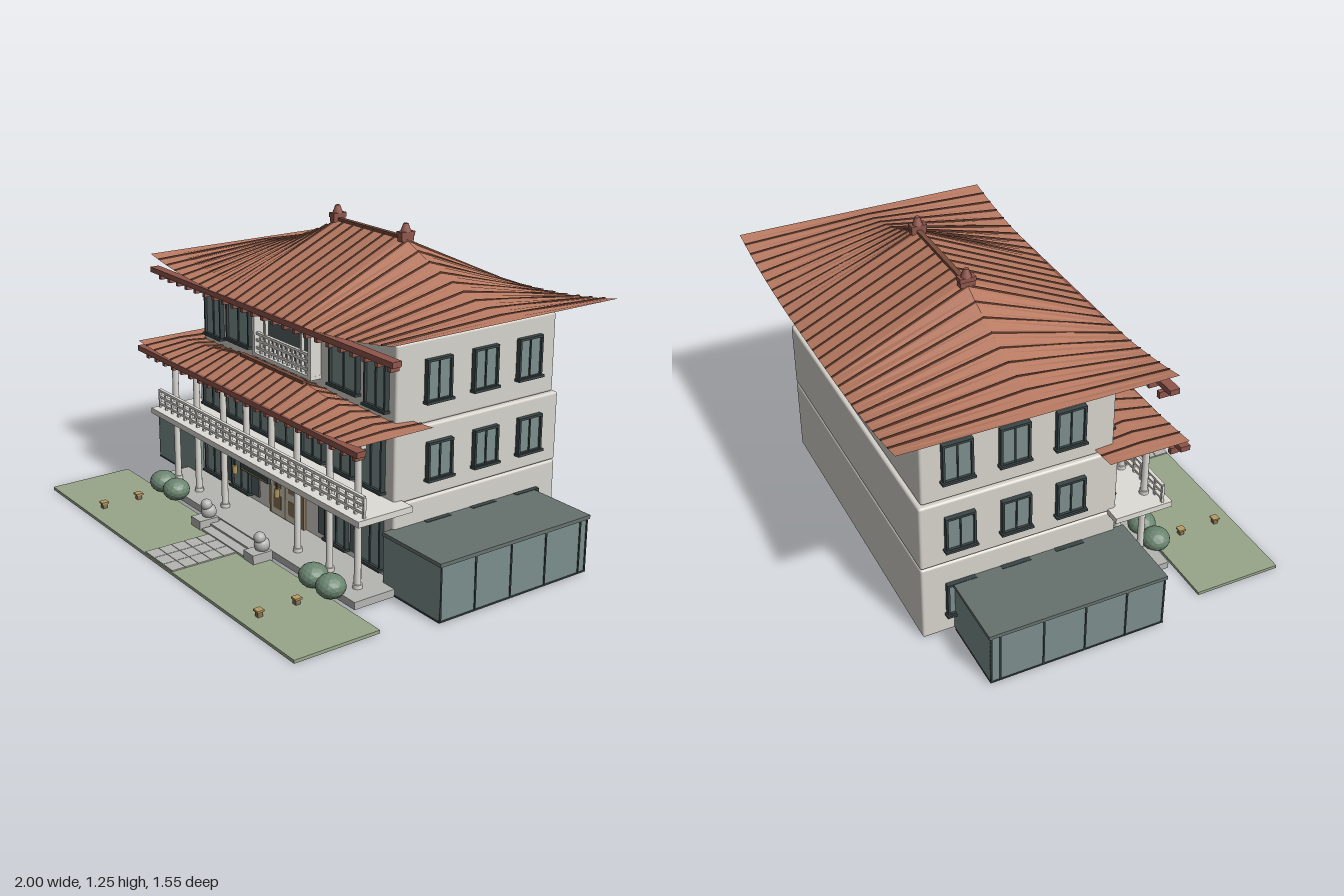
import * as THREE from 'three';
import { RoundedBoxGeometry } from 'three/addons/geometries/RoundedBoxGeometry.js';

const mat = (color, extra = {}) => new THREE.MeshStandardMaterial({ color, ...extra });
const M = {
  wall: mat(0xd6d3cc), white: mat(0xdedcd6), stone: mat(0xb5b5b2), glass: mat(0x7b8e8c), frame: mat(0x3a4546),
  roof: mat(0xb87a62, { side: THREE.DoubleSide }), seam: mat(0x7a4c3c), beam: mat(0x8f554b), lawn: mat(0x98a68a),
  bush: mat(0x6b8570, { flatShading: true }), cap: mat(0x66726e), cream: mat(0xd8cdb8), wood: mat(0x8a7458),
  gold: mat(0xb59a63), dark: mat(0x56605f),
};

function add(parent, name, geo, material, x = 0, y = 0, z = 0) {
  const m = new THREE.Mesh(geo, material);
  m.name = name;
  m.position.set(x, y, z);
  parent.add(m);
  return m;
}

// box given by its limits on each axis
function box(parent, name, material, x0, x1, y0, y1, z0, z1) {
  return add(parent, name, new THREE.BoxGeometry(x1 - x0, y1 - y0, z1 - z0), material,
    (x0 + x1) / 2, (y0 + y1) / 2, (z0 + z1) / 2);
}

function group(parent, name) {
  const g = new THREE.Group();
  g.name = name;
  parent.add(g);
  return g;
}

// window facing +z with its back on z = 0: frame bars, glass and mullions
function makeWindow(parent, name, w, h, panes = 2, sill = true) {
  const g = group(parent, name), t = 0.009;
  box(g, 'glass', M.glass, -w / 2, w / 2, -h / 2, h / 2, 0, 0.012);
  for (const s of [-1, 1]) {
    box(g, 'frameSide', M.frame, s * w / 2 - t / 2, s * w / 2 + t / 2, -h / 2, h / 2, 0, 0.022);
    box(g, 'frameRail', M.frame, -w / 2 - t / 2, w / 2 + t / 2, s * h / 2 - t / 2, s * h / 2 + t / 2, 0, 0.022);
  }
  for (let i = 1; i < panes; i++) {
    const x = -w / 2 + (w * i) / panes;
    box(g, 'mullion', M.frame, x - 0.003, x + 0.003, -h / 2, h / 2, 0, 0.017);
  }
  if (sill) box(g, 'sill', M.frame, -w / 2 - 0.01, w / 2 + 0.01, -h / 2 - 0.008, -h / 2 + 0.002, 0, 0.03);
  return g;
}

// swept roof: straight slopes in z, with eaves and ridge curving along x
function makeRoof(parent, name, r) {
  const g = group(parent, name);
  const eave = (x) => r.eave + (r.tip - r.eave) * Math.pow(Math.abs(x) / r.hx, 3);
  const ridge = (x) => {
    const u = Math.max(0, (Math.abs(x) - r.ridgeX) / (r.hx - r.ridgeX));
    return r.tip + (r.top - r.tip) * Math.pow(1 - u, 1.6);
  };
  const height = (x, z) => eave(x) + (ridge(x) - eave(x)) * (1 - Math.min(1, Math.abs(z - r.zc) / r.hz));
  const geo = new THREE.PlaneGeometry(2 * r.hx, 2 * r.hz, 48, 2).rotateX(-Math.PI / 2).translate(0, 0, r.zc);
  const p = geo.attributes.position;
  for (let i = 0; i < p.count; i++) p.setY(i, height(p.getX(i), p.getZ(i)));
  const flat = geo.toNonIndexed();
  flat.computeVertexNormals();
  add(g, 'roofSheet', flat, M.roof);
  // standing seams running down both slopes
  const n = Math.round((2 * r.hx) / 0.067);
  for (let i = 1; i < n; i++) {
    const x = -r.hx + (2 * r.hx * i) / n, drop = ridge(x) - eave(x);
    for (const s of [-1, 1]) {
      const seam = add(g, 'seam', new THREE.BoxGeometry(0.005, 0.006, Math.hypot(drop, r.hz)), M.seam,
        x, (ridge(x) + eave(x)) / 2 + 0.002, r.zc + s * r.hz / 2);
      seam.rotation.x = s * Math.atan2(drop, r.hz);
    }
  }
  // ridge cap, front eave beam and rafter ends
  box(g, 'ridgeCap', M.seam, -r.ridgeX, r.ridgeX, r.top - 0.005, r.top + 0.008, r.zc - 0.01, r.zc + 0.01);
  const zf = r.zc + r.hz;
  box(g, 'eaveBeam', M.beam, -r.hx, r.hx, r.eave - 0.018, r.eave + 0.004, zf - 0.035, zf + 0.005);
  const k = Math.round((2 * r.hx) / 0.075);
  for (let i = 0; i <= k; i++) {
    const x = (r.hx - 0.045) * ((2 * i) / k - 1);
    box(g, 'rafterEnd', M.beam, x - 0.009, x + 0.009, r.eave - 0.045, r.eave - 0.018, zf - 0.055, zf - 0.015);
  }
  return g;
}

// horizontal rails with balusters along x
function makeRailing(parent, name, hx, y0, y1, z, count) {
  const g = group(parent, name);
  for (const y of [y0 + 0.02, (y0 + y1) / 2 + 0.012, y1])
    box(g, 'rail', M.white, -hx, hx, y - 0.005, y + 0.005, z - 0.007, z + 0.007);
  for (let i = 0; i <= count; i++) {
    const x = hx * ((2 * i) / count - 1);
    box(g, 'baluster', M.white, x - 0.005, x + 0.005, y0, y1, z - 0.005, z + 0.005);
  }
}

export function createModel() {
  const root = new THREE.Group();
  root.name = 'building';

  // three storeys
  const storeys = [[0.68, 0.005, 0.332, -0.64, 0.165], [0.68, 0.334, 0.615, -0.64, 0.165], [0.665, 0.615, 0.935, -0.625, 0.15]];
  storeys.forEach(([hx, y0, y1, z0, z1], i) => add(root, 'storey' + (i + 1),
    new RoundedBoxGeometry(hx * 2, y1 - y0, z1 - z0, 2, 0.01), M.wall, 0, (y0 + y1) / 2, (z0 + z1) / 2));

  // side windows
  for (const s of [-1, 1])
    for (const [y, h, x] of [[0.165, 0.14, 0.678], [0.475, 0.14, 0.678], [0.78, 0.155, 0.663]])
      for (const z of [-0.038, -0.262, -0.485]) {
        const w = makeWindow(root, 'sideWindow', 0.11, h);
        w.position.set(s * x, y, z);
        w.rotation.y = s * Math.PI / 2;
      }

  // front windows and sliding doors
  const front = (x, y, z, w, h, panes) => makeWindow(root, 'frontWindow', w, h, panes).position.set(x, y, z);
  for (const s of [-1, 1]) {
    front(s * 0.56, 0.78, 0.148, 0.12, 0.2, 2);
    front(s * 0.365, 0.78, 0.148, 0.165, 0.165, 2);
    for (const x of [0.555, 0.37, 0.185]) front(s * x, 0.475, 0.163, 0.135, 0.21, 2);
    for (const x of [0.555, 0.34]) front(s * x, 0.175, 0.163, 0.13, 0.23, 2);
    for (const x of [0.455, 0.245])
      box(root, 'darkPanel', M.dark, s * x - 0.032, s * x + 0.032, 0.06, 0.29, 0.16, 0.172);
  }
  front(0, 0.475, 0.163, 0.17, 0.21, 2);

  // upper loggia with its frame and railing
  const bay = group(root, 'upperLoggia');
  box(bay, 'recess', M.dark, -0.19, 0.19, 0.69, 0.87, 0.145, 0.156);
  for (const s of [-1, 1]) {
    box(bay, 'post', M.white, s * 0.195 - 0.009, s * 0.195 + 0.009, 0.69, 0.88, 0.15, 0.2);
    box(bay, 'innerPost', M.white, s * 0.125 - 0.005, s * 0.125 + 0.005, 0.7, 0.865, 0.175, 0.19);
  }
  box(bay, 'lintel', M.white, -0.205, 0.205, 0.862, 0.88, 0.15, 0.2);
  box(bay, 'ledge', M.white, -0.205, 0.205, 0.69, 0.705, 0.15, 0.2);
  makeRailing(bay, 'loggiaRailing', 0.19, 0.705, 0.785, 0.185, 12);

  // roofs
  const main = makeRoof(root, 'mainRoof', { hx: 0.835, hz: 0.537, zc: -0.237, eave: 0.94, tip: 1.0, top: 1.19, ridgeX: 0.22 });
  for (const s of [-1, 1]) {
    const f = group(main, 'finial');
    f.position.set(s * 0.222, 1.18, -0.237);
    box(f, 'base', M.beam, -0.014, 0.014, 0, 0.022, -0.03, 0.03);
    box(f, 'block', M.beam, -0.018, 0.018, 0.02, 0.038, -0.032, 0.032);
    add(f, 'knob', new THREE.CylinderGeometry(0.01, 0.022, 0.032, 8), M.beam, 0, 0.053, 0);
  }
  makeRoof(root, 'porchRoof', { hx: 0.78, hz: 0.167, zc: 0.238, eave: 0.622, tip: 0.646, top: 0.695, ridgeX: 0.22 });

  // porch floor, balcony and columns
  box(root, 'porchFloor', M.stone, -0.74, 0.74, 0.005, 0.035, 0.15, 0.385);
  box(root, 'balconySlab', M.white, -0.745, 0.745, 0.323, 0.347, 0.13, 0.375);
  box(root, 'balconyBeam', M.white, -0.7, 0.7, 0.3, 0.323, 0.293, 0.317);
  box(root, 'columnHead', M.white, -0.68, 0.68, 0.585, 0.605, 0.293, 0.317);
  const column = (x, y0, y1) => {
    add(root, 'column', new THREE.CylinderGeometry(0.013, 0.014, y1 - y0, 12), M.white, x, (y0 + y1) / 2, 0.305);
    for (const y of [y0 + 0.008, y1 - 0.008])
      add(root, 'columnRing', new THREE.CylinderGeometry(0.019, 0.019, 0.016, 12), M.white, x, y, 0.305);
  };
  for (const s of [-1, 1]) {
    for (const x of [0.65, 0.475, 0.265]) column(s * x, 0.035, 0.323);
    for (const x of [0.65, 0.475, 0.265, 0.09]) column(s * x, 0.347, 0.622);
  }
  makeRailing(root, 'balconyRailing', 0.73, 0.347, 0.425, 0.338, 28);

  // entrance door, sign board and lanterns
  const door = group(root, 'entrance');
  box(door, 'doorFrame', M.wood, -0.122, 0.122, 0.035, 0.27, 0.16, 0.178);
  for (const s of [-1, 1]) {
    box(door, 'doorLeaf', M.cream, s * 0.053 - 0.05, s * 0.053 + 0.05, 0.04, 0.255, 0.17, 0.184);
    for (const y of [0.1, 0.195])
      box(door, 'doorPanel', M.wood, s * 0.053 - 0.026, s * 0.053 + 0.026, y - 0.03, y + 0.03, 0.18, 0.187);
    add(door, 'lantern', new THREE.CylinderGeometry(0.011, 0.011, 0.035, 8), M.gold, s * 0.152, 0.243, 0.325);
    box(door, 'lanternHook', M.frame, s * 0.152 - 0.003, s * 0.152 + 0.003, 0.26, 0.325, 0.322, 0.328);
  }
  box(door, 'signBoard', M.frame, -0.1, 0.1, 0.263, 0.302, 0.317, 0.332);
  box(door, 'signTrim', M.gold, -0.092, 0.092, 0.266, 0.27, 0.33, 0.335);

  // side annexes with glazed panels
  for (const s of [-1, 1]) {
    const a = group(root, 'annex');
    const bx = (name, m, x0, x1, ...r) => box(a, name, m, Math.min(s * x0, s * x1), Math.max(s * x0, s * x1), ...r);
    bx('body', M.glass, 0.67, 0.993, 0.008, 0.225, -0.512, 0.203);
    bx('flatRoof', M.cap, 0.67, 1.0, 0.223, 0.238, -0.52, 0.208);
    for (const z of [0.2, 0.04, -0.13, -0.3, -0.475, -0.509])
      bx('mullion', M.frame, 0.985, 0.997, 0.008, 0.225, z - 0.003, z + 0.003);
    bx('frontSill', M.frame, 0.69, 0.996, 0.006, 0.012, -0.514, 0.206);
  }

  // lawn, path and steps
  box(root, 'lawn', M.lawn, -0.922, 0.922, 0, 0.013, 0.41, 0.772);
  for (let i = 0; i < 5; i++)
    for (let j = 0; j < 3; j++) {
      const x = -0.105 + j * 0.07, z = 0.485 + i * 0.057;
      box(root, 'pathTile', M.stone, x + 0.001, x + 0.069, 0.002, 0.018, z + 0.001, z + 0.056);
    }
  box(root, 'upperStep', M.stone, -0.17, 0.17, 0, 0.03, 0.38, 0.44);
  box(root, 'lowerStep', M.stone, -0.155, 0.155, 0, 0.022, 0.44, 0.485);

  // shrubs, guardian figures and garden lamps
  for (const s of [-1, 1]) {
    for (const x of [0.505, 0.615])
      add(root, 'shrub', new THREE.IcosahedronGeometry(0.058, 2), M.bush, s * x, 0.055, 0.4).scale.y = 0.8;
    const f = group(root, 'guardianFigure');
    f.position.set(s * 0.197, 0, 0.425);
    box(f, 'pedestal', M.stone, -0.035, 0.035, 0, 0.05, -0.025, 0.063);
    add(f, 'torso', new THREE.SphereGeometry(0.032, 14, 10), M.stone, 0, 0.07, 0);
    add(f, 'head', new THREE.SphereGeometry(0.024, 14, 10), M.stone, 0, 0.1, 0.01);
    for (const z of [0.535, 0.697]) {
      box(root, 'lampPost', M.wood, s * 0.592 - 0.01, s * 0.592 + 0.01, 0.01, 0.034, z - 0.01, z + 0.01);
      box(root, 'lampCap', M.gold, s * 0.592 - 0.015, s * 0.592 + 0.015, 0.033, 0.041, z - 0.015, z + 0.015);
    }
  }
  return root;
}
